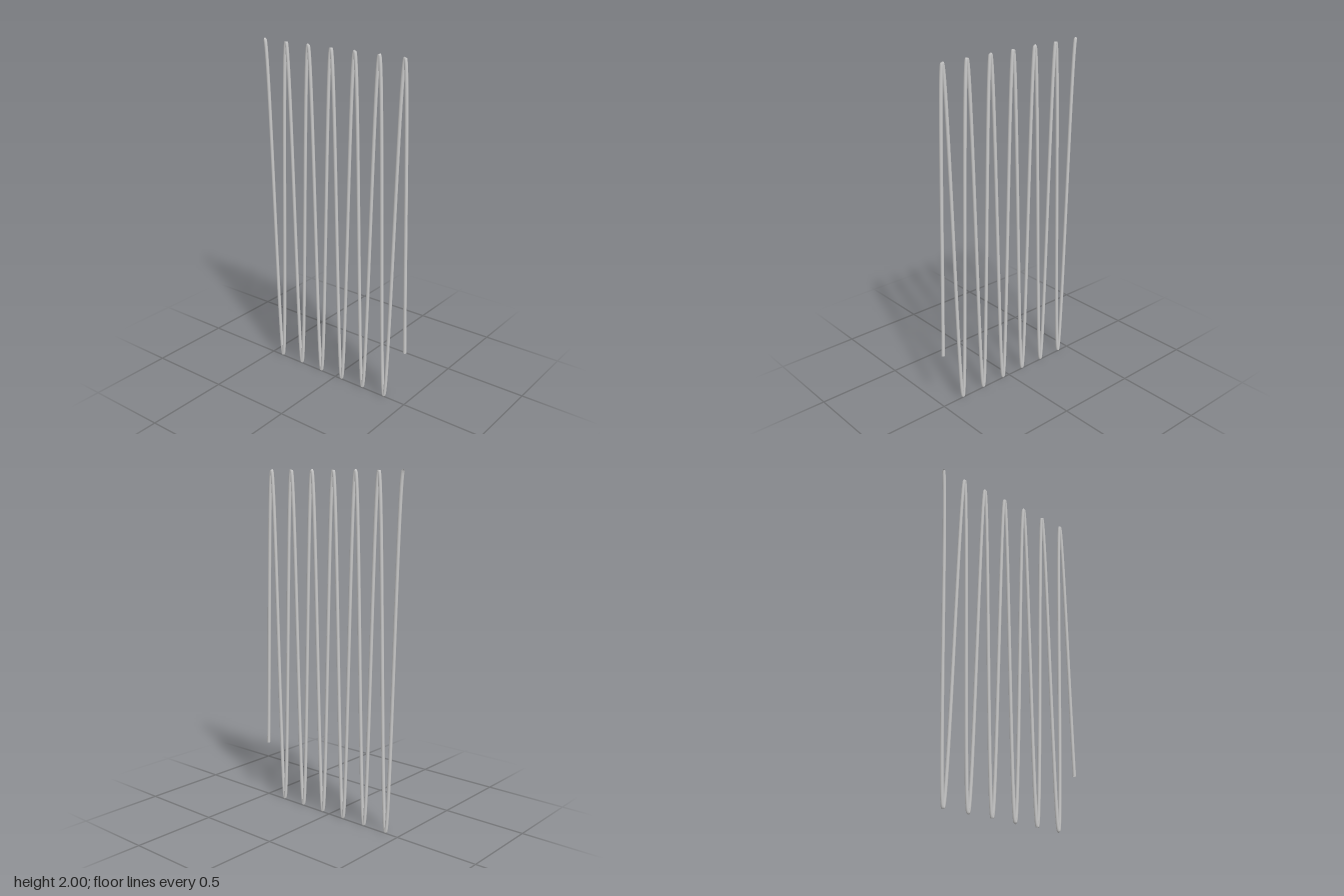
import * as THREE from 'three';

const RADIUS = 0.0099, AMPLITUDE = 0.99, LENGTH = 0.99, PHASE = 40, START_X = -0.4958;

// Cosine wave in the XY plane, sampled evenly along x so the tight bends stay round
class WaveCurve extends THREE.Curve {
  getPoint(t, target = new THREE.Vector3()) {
    return target.set(START_X + LENGTH * t, 1 + AMPLITUDE * Math.cos(PHASE * t), 0);
  }
  getUtoTmapping(u) {
    return u;
  }
}

export function createModel() {
  const group = new THREE.Group();
  group.name = 'waveWire';

  // Open-ended round wire following the wave
  const wire = new THREE.Mesh(
    new THREE.TubeGeometry(new WaveCurve(), 500, RADIUS, 8, false),
    new THREE.MeshStandardMaterial({ color: 0xcccccc, side: THREE.DoubleSide })
  );
  wire.name = 'wire';
  group.add(wire);
  return group;
}
